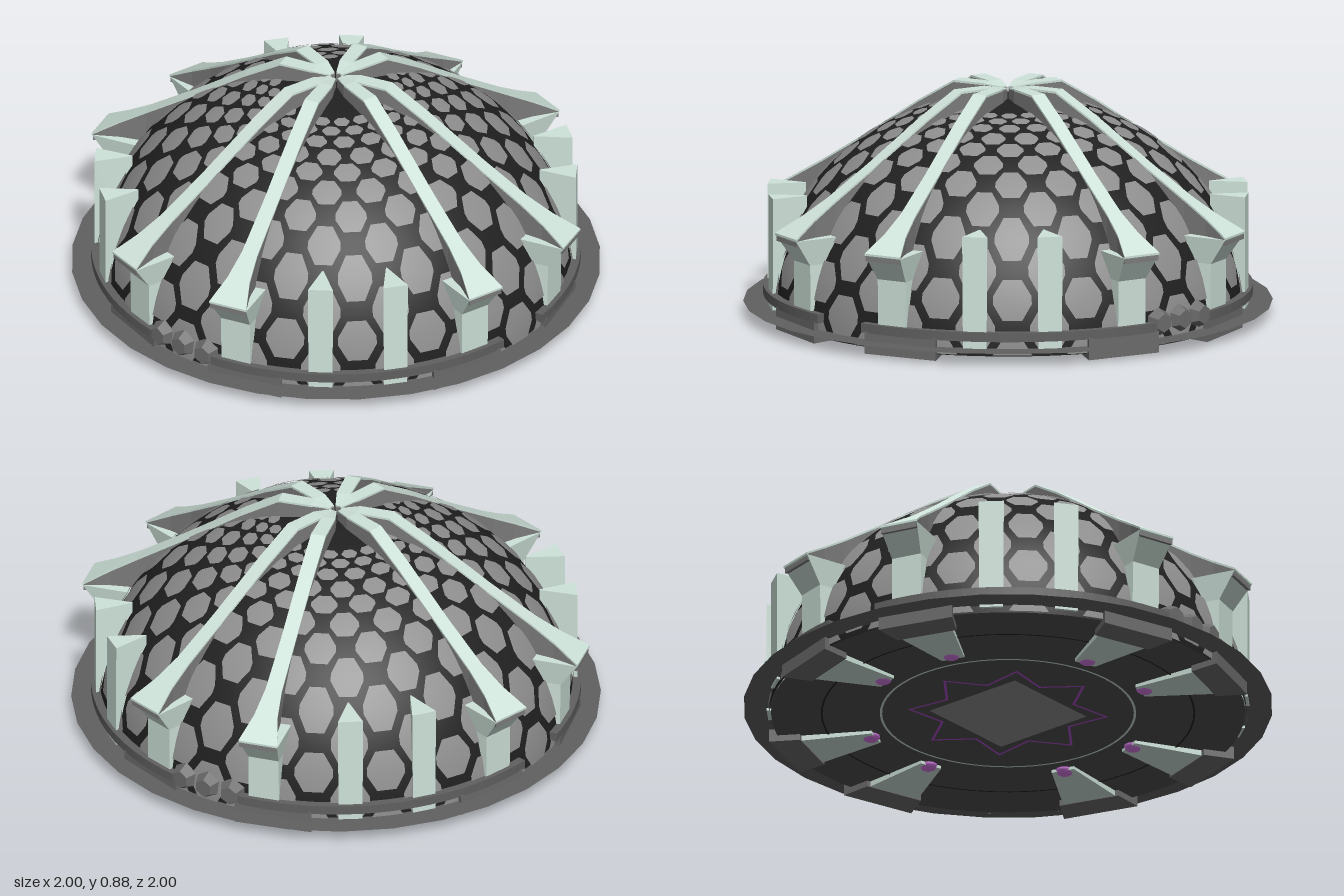
import * as THREE from 'three';

const mat = (name, color, side = THREE.FrontSide) => {
  const m = new THREE.MeshStandardMaterial({ color, side });
  m.name = name;
  return m;
};
const rad = THREE.MathUtils.degToRad;

// Joins four-cornered sections into a closed, flat-faced solid.
function loft(sections) {
  const pos = [];
  const tri = (a, b, c) => pos.push(...a, ...b, ...c);
  const quad = (a, b, c, d) => { tri(a, b, c); tri(a, c, d); };
  for (let i = 0; i < sections.length - 1; i++) {
    const s = sections[i], t = sections[i + 1];
    for (let k = 0; k < 4; k++) {
      const n = (k + 1) % 4;
      quad(s[k], s[n], t[n], t[k]);
    }
  }
  const first = sections[0], last = sections[sections.length - 1];
  quad(first[3], first[2], first[1], first[0]);
  quad(...last);
  // Turn the faces outward when the signed volume is negative.
  let volume = 0;
  const p = i => new THREE.Vector3().fromArray(pos, i);
  for (let i = 0; i < pos.length; i += 9) volume += p(i).dot(p(i + 3).cross(p(i + 6)));
  if (volume < 0) {
    for (let i = 0; i < pos.length; i += 9) {
      for (let j = 0; j < 3; j++) [pos[i + j], pos[i + 3 + j]] = [pos[i + 3 + j], pos[i + j]];
    }
  }
  const g = new THREE.BufferGeometry();
  g.setAttribute('position', new THREE.Float32BufferAttribute(pos, 3));
  g.computeVertexNormals();
  return g;
}
// Upright section at radius r, and level section at height y (z points outward).
const upright = (r, hw, y0, y1) => [[-hw, y0, r], [hw, y0, r], [hw, y1, r], [-hw, y1, r]];
const level = (y, hw, r0, r1, innerHw = hw) =>
  [[-innerHw, y, r0], [innerHw, y, r0], [hw, y, r1], [-hw, y, r1]];

const R = 0.9, H = 0.81, Y0 = 0.02; // dome radius, height and base level
const domeY = r => (r < R ? Y0 + H * Math.sqrt(1 - (r / R) ** 2) : Y0);

// Six-sided panels laid over the dome in staggered rows, wider and flatter towards the top.
function domePanels() {
  const rows = [-1, 7, 15, 22.7, 31.5, 40, 47.5, 54, 59.5, 64, 68.5, 72, 75];
  const outline = [[1, -0.2], [1, 0.2], [0.5, 1], [-0.5, 1], [-1, 0.2], [-1, -0.2], [-0.5, -1], [0.5, -1]];
  const pos = [], nor = [];
  const put = (az, el) => {
    const a = rad(az), e = rad(Math.max(el, 0.3)), k = 1.007;
    const x = Math.cos(e) * Math.sin(a), y = Math.sin(e), z = Math.cos(e) * Math.cos(a);
    pos.push(x * R * k, Y0 + y * H * k, z * R * k);
    nor.push(...new THREE.Vector3(x / R, y / H, z / R).normalize().toArray());
  };
  rows.forEach((el, i) => {
    const step = i < rows.length - 1 ? rows[i + 1] - el : 3;
    const lift = Math.max(0, el - 35) / 40;
    const w = 4.8 + 2.4 * lift, h = step * (0.7 - 0.24 * lift);
    for (let c = 0; c < 20; c++) {
      const az = c * 18 + (i % 2 ? 0 : 9);
      outline.forEach(([u, v], k) => {
        const [u2, v2] = outline[(k + 1) % outline.length];
        put(az, el);
        put(az + u * w, el + v * h);
        put(az + u2 * w, el + v2 * h);
      });
    }
  });
  const g = new THREE.BufferGeometry();
  g.setAttribute('position', new THREE.Float32BufferAttribute(pos, 3));
  g.setAttribute('normal', new THREE.Float32BufferAttribute(nor, 3));
  return g;
}

// Eight-pointed star outline as a flat shape.
function starPath(Kind, outer, inner) {
  const s = new Kind();
  for (let i = 0; i <= 16; i++) {
    const r = i % 2 ? inner : outer, a = (i * Math.PI) / 8;
    s[i ? 'lineTo' : 'moveTo'](r * Math.cos(a), r * Math.sin(a));
  }
  return s;
}

export function createModel() {
  const model = new THREE.Group();
  model.name = 'domedPavilion';
  const pale = mat('paleGreen', 0xcfe3da);
  const grey = mat('finGrey', 0x7c7c7c);
  const stone = mat('rimGrey', 0x606060, THREE.DoubleSide);
  const footGrey = mat('footGrey', 0x6c6c6c);
  const dark = mat('domeDark', 0x202020);
  const floorDark = mat('floorDark', 0x505050, THREE.DoubleSide);
  const panel = mat('panelGrey', 0x8e8e8e);
  const purple = mat('crystalPurple', 0xee86ff);
  const violet = mat('inlayViolet', 0xb050d0, THREE.DoubleSide);
  const add = (name, geometry, material, parent = model) => {
    const m = new THREE.Mesh(geometry, material);
    m.name = name;
    parent.add(m);
    return m;
  };
  const spoke = (name, az) => {
    const g = new THREE.Group();
    g.name = name;
    g.rotation.y = rad(az);
    model.add(g);
    return g;
  };

  // Dome shell and its panels
  const shell = new THREE.SphereGeometry(1, 80, 28, 0, Math.PI * 2, 0, Math.PI / 2);
  shell.scale(R, H, R).translate(0, Y0, 0);
  add('domeShell', shell, dark);
  add('domePanels', domePanels(), panel);

  // Thin rim plate and floor
  const flat = (geometry, y, turn = -1) => geometry.rotateX((turn * Math.PI) / 2).translate(0, y, 0);
  add('rimPlate', flat(new THREE.RingGeometry(0.84, 1, 32), 0.05), stone);
  add('floor', flat(new THREE.CircleGeometry(0.895, 64), 0.024), floorDark);

  // Inlays on the underside
  const star = starPath(THREE.Shape, 0.38, 0.265);
  star.holes.push(starPath(THREE.Path, 0.364, 0.254));
  add('starInlay', flat(new THREE.ShapeGeometry(star), 0.02), violet);
  add('circleInlay', flat(new THREE.RingGeometry(0.475, 0.484, 64), 0.02, 1), pale);
  add('outerCircleInlay', flat(new THREE.RingGeometry(0.7, 0.707, 64), 0.02, 1), dark);
  add('squareInlay', flat(new THREE.PlaneGeometry(0.42, 0.42), 0.018, 1), panel);

  // Curbs over the rim, open at the four sides
  for (let q = 0; q < 4; q++) {
    const a = rad(q * 90 + 7), b = rad(q * 90 + 83);
    const s = new THREE.Shape();
    s.absarc(0, 0, 0.925, a, b, false);
    s.absarc(0, 0, 0.86, b, a, true);
    const g = new THREE.ExtrudeGeometry(s, { depth: 0.035, bevelEnabled: false, curveSegments: 12 });
    add('curb', flat(g, 0.08), stone);
  }

  // Ribs and columns
  const line = [
    [0.02, 0.87, 0.008], [0.09, 0.88, 0.026], [0.22, 0.88, 0.029], [0.37, 0.79, 0.029],
    [0.6, 0.635, 0.029], [0.78, 0.52, 0.032], [0.88, 0.46, 0.046], [0.98, 0.4, 0.077],
  ];
  const ribTop = loft(line.map(([r, y, w]) => upright(r, w, y - 0.008, y)));
  const fin = loft(line.map(([r, y, w]) =>
    upright(r - 0.004, w * 0.97, Math.min(y - 0.02, Math.max(domeY(r) - 0.04, 0.37)), y - 0.006)));
  const column = loft([
    level(0.04, 0.06, 0.8, 0.905), level(0.29, 0.06, 0.78, 0.908), level(0.392, 0.076, 0.76, 0.979),
  ]);
  for (let q = 0; q < 4; q++) {
    for (const side of [-15, 15]) {
      const g = spoke('ribAssembly', q * 90 + side);
      add('ribTop', ribTop, pale, g);
      add('ribFin', fin, grey, g);
      add('column', column, pale, g);
    }
  }

  // Feet, each with a wedge and a crystal at its inner end
  const footBlock = loft([upright(0.8, 0.12, 0, 0.085), upright(0.915, 0.15, 0, 0.085)]);
  const footWedge = loft([upright(0.54, 0.045, 0.012, 0.04), upright(0.82, 0.11, 0.002, 0.05)]);
  const crystal = new THREE.SphereGeometry(0.035, 12, 8).scale(1, 0.6, 1).translate(0, 0.022, 0.56);
  for (let q = 0; q < 4; q++) {
    for (const side of [-17.5, 17.5]) {
      const g = spoke('foot', q * 90 + side);
      add('footBlock', footBlock, footGrey, g);
      add('footWedge', footWedge, pale, g);
      add('footCrystal', crystal, purple, g);
    }
  }

  // Wedge-shaped buttresses in pairs on the diagonals
  const buttress = loft([level(0.04, 0.045, 0.77, 0.91, 0.002), level(0.48, 0.048, 0.77, 0.91, 0.002)]);
  for (let q = 0; q < 4; q++) {
    for (const side of [-9, 9]) add('buttress', buttress, pale, spoke('buttressMount', q * 90 + 45 + side));
  }

  // Six-sided bosses at front and back
  const boss = new THREE.CylinderGeometry(0.036, 0.056, 0.04, 6).toNonIndexed();
  boss.computeVertexNormals();
  boss.rotateX(Math.PI / 2).translate(0, 0.11, 0.912);
  for (const face of [0, 180]) {
    for (const side of [-6.7, 0, 6.7]) add('boss', boss, footGrey, spoke('bossMount', face + side));
  }
  return model;
}
